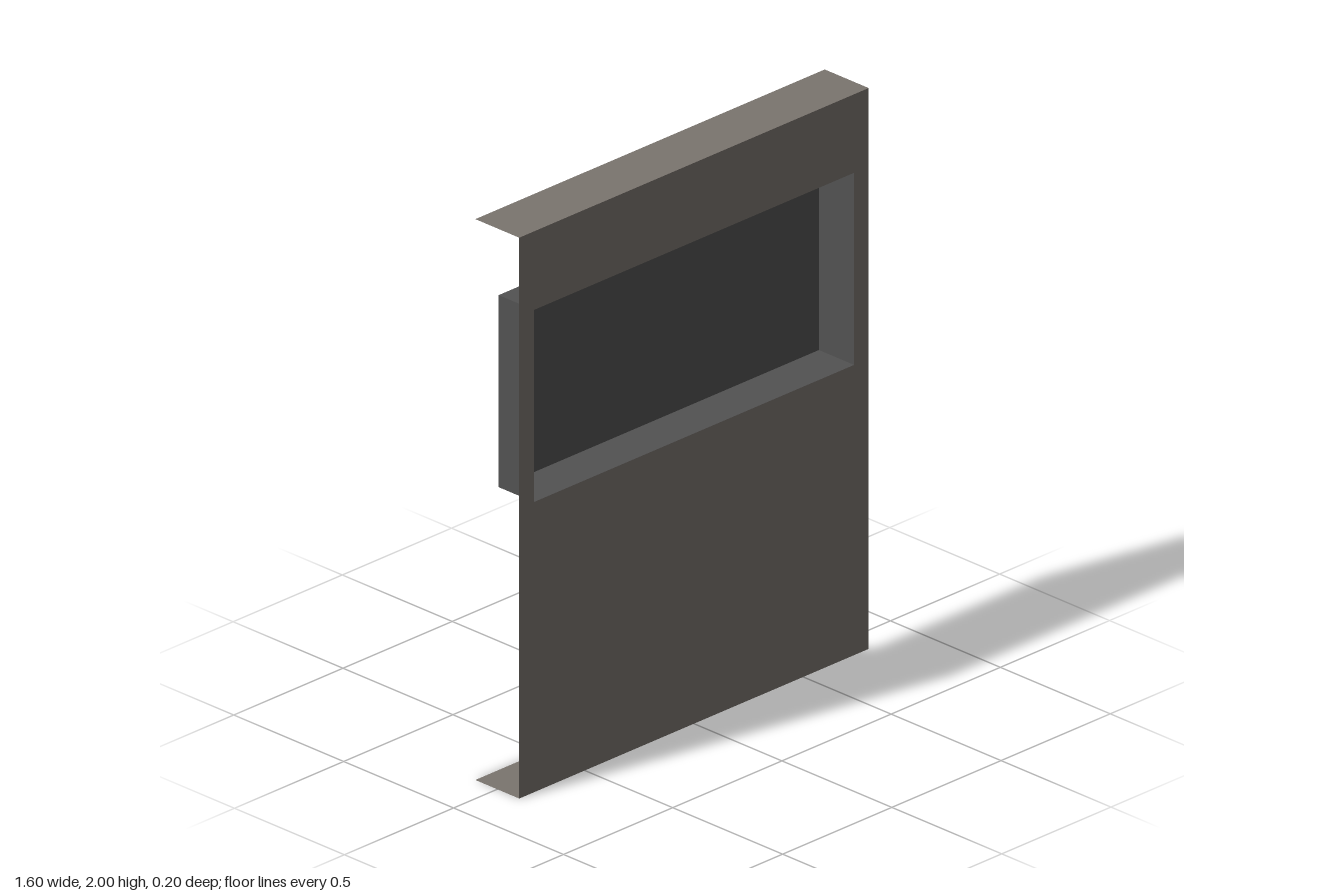
import * as THREE from 'three';

const W = 1.6, H = 2, FRONT = 0.1, BACK = -0.1;
const HOLE = { x: 0.733, y0: 1.035, y1: 1.72, z: -0.06 };

export function createModel() {
  const group = new THREE.Group();
  group.name = 'recessedWallPanel';

  const panelPaint = new THREE.MeshStandardMaterial({ color: 0x7b756f, side: THREE.DoubleSide });
  panelPaint.name = 'warm grey';
  const recessPaint = new THREE.MeshStandardMaterial({ color: 0x525252, side: THREE.DoubleSide });
  recessPaint.name = 'dark grey';

  const add = (name, geometry, material, x, y, z, rx = 0, ry = 0) => {
    const mesh = new THREE.Mesh(geometry, material);
    mesh.name = name;
    mesh.position.set(x, y, z);
    mesh.rotation.set(rx, ry, 0);
    group.add(mesh);
  };
  const plane = (w, h) => new THREE.PlaneGeometry(w, h);
  const rect = (path, x, y0, y1) =>
    path.moveTo(-x, y0).lineTo(x, y0).lineTo(x, y1).lineTo(-x, y1).closePath();

  // Sheet front with a rectangular opening
  const face = new THREE.Shape();
  rect(face, W / 2, 0, H);
  const opening = new THREE.Path();
  rect(opening, HOLE.x, HOLE.y0, HOLE.y1);
  face.holes.push(opening);
  add('frontPanel', new THREE.ShapeGeometry(face), panelPaint, 0, 0, FRONT);

  // Flanges folded back along the top and bottom edges
  const depth = FRONT - BACK;
  add('topFlange', plane(W, depth), panelPaint, 0, H, 0, -Math.PI / 2);
  add('bottomFlange', plane(W, depth), panelPaint, 0, 0, 0, Math.PI / 2);

  // Open tray set into the opening
  const d = FRONT - HOLE.z, zMid = (FRONT + HOLE.z) / 2;
  const h = HOLE.y1 - HOLE.y0, yMid = (HOLE.y0 + HOLE.y1) / 2;
  add('recessBack', plane(HOLE.x * 2, h), recessPaint, 0, yMid, HOLE.z);
  add('recessTop', plane(HOLE.x * 2, d), recessPaint, 0, HOLE.y1, zMid, Math.PI / 2);
  add('recessBottom', plane(HOLE.x * 2, d), recessPaint, 0, HOLE.y0, zMid, -Math.PI / 2);
  for (const [name, s] of [['recessLeft', 1], ['recessRight', -1]]) {
    add(name, plane(d, h), recessPaint, s * HOLE.x, yMid, zMid, 0, -s * Math.PI / 2);
  }
  return group;
}
